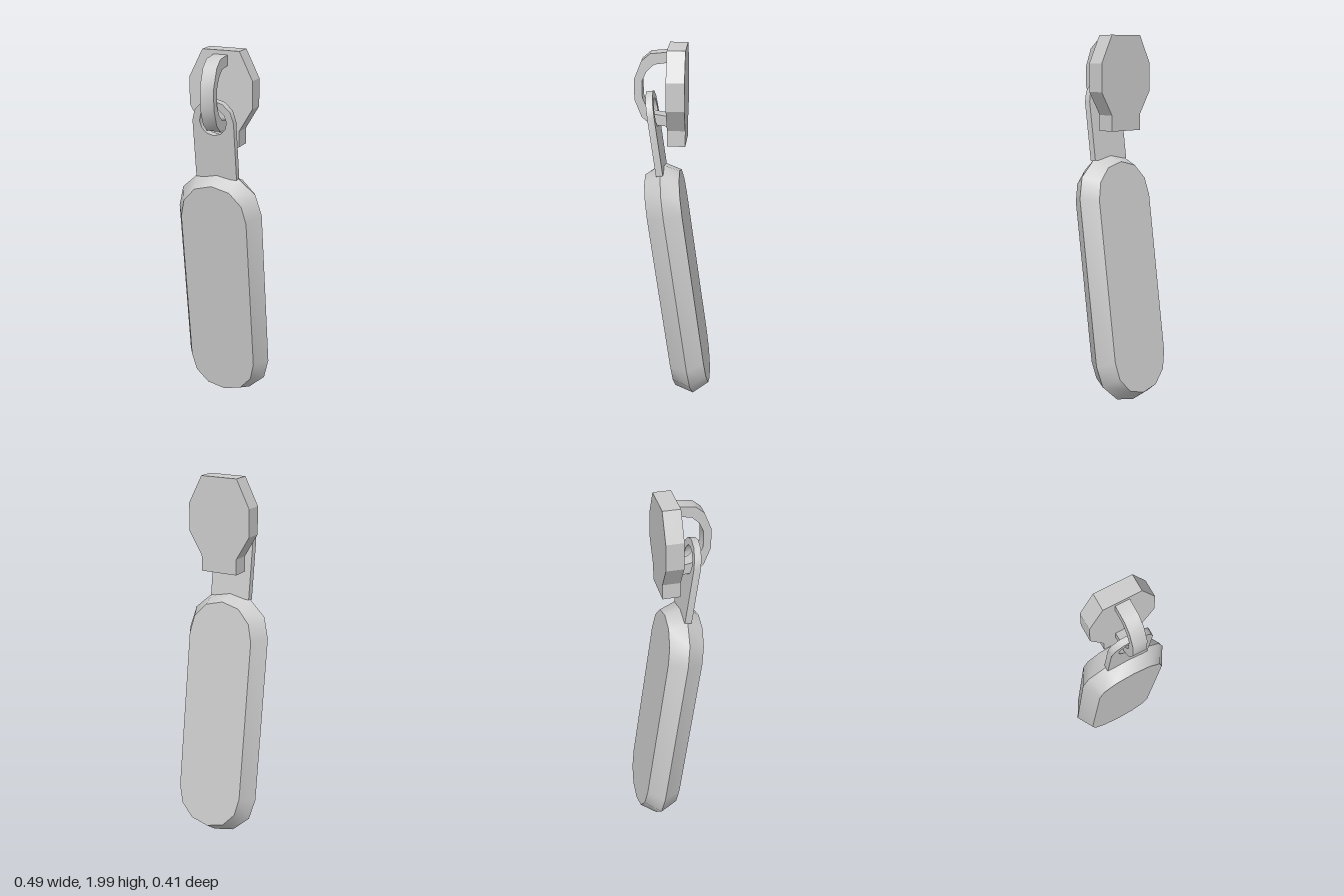
import * as THREE from 'three';
import { toCreasedNormals } from 'three/addons/utils/BufferGeometryUtils.js';

const TILT = 0.139;
const grey = new THREE.MeshStandardMaterial({ color: 0xcccccc });

function part(name, geometry, crease = 0.7) {
  const flat = geometry.index ? geometry.toNonIndexed() : geometry;
  const mesh = new THREE.Mesh(toCreasedNormals(flat, crease), grey);
  mesh.name = name;
  return mesh;
}

// Extrudes a shape, centred on its depth
function slab(shape, depth, curveSegments = 6) {
  return new THREE.ExtrudeGeometry(shape, { depth, bevelEnabled: false, curveSegments })
    .translate(0, 0, -depth / 2);
}

const points = list => list.map(([x, y]) => new THREE.Vector2(x, y));

// Mirrors a quarter outline (top centre to side) into a closed clockwise ring
function ring(quarter) {
  const right = [...quarter, ...quarter.map(([x, y]) => [x, -y]).reverse()];
  const left = right.slice(1, -1).map(([x, y]) => [-x, y]).reverse();
  return [...right, ...left];
}

// Pull body: a wide middle ring between two smaller flat faces
function bodyGeometry() {
  const wide = ring([[0, 0.68], [0.117, 0.656], [0.212, 0.571], [0.243, 0.456]]);
  const face = ring([[0, 0.634], [0.1, 0.608], [0.167, 0.535], [0.19, 0.438]]);
  const sections = [[face, -0.094], [wide, 0], [face, 0.094]];
  const n = wide.length;
  const positions = [], index = [];
  for (const [outline, z] of sections) for (const [x, y] of outline) positions.push(x, y, z);
  for (let s = 0; s < 2; s++) {
    for (let i = 0; i < n; i++) {
      const a = s * n + i, b = s * n + (i + 1) % n;
      index.push(a, a + n, b, b, a + n, b + n);
    }
  }
  for (let i = 1; i < n - 1; i++) {
    index.push(0, i, i + 1);
    index.push(2 * n, 2 * n + i + 1, 2 * n + i);
  }
  const geometry = new THREE.BufferGeometry();
  geometry.setAttribute('position', new THREE.Float32BufferAttribute(positions, 3));
  geometry.setIndex(index);
  return geometry;
}

export function createModel() {
  const group = new THREE.Group();

  // Slider plate: wide in the middle, with a narrow lower end
  const half = [[0.105, 2], [0.18, 1.85], [0.18, 1.7], [0.105, 1.575], [0.105, 1.49]];
  const plate = new THREE.Shape(points([...half, ...half.map(([x, y]) => [-x, y]).reverse()]));
  const slider = part('sliderPlate', slab(plate, 0.096), 0.2);
  slider.position.z = -0.02;
  group.add(slider);

  // Loop on the plate: a flat band, drawn in profile as (z, height from its middle)
  const outer = [[0.02, 0.2], [0.12, 0.19], [0.167, 0.15], [0.205, 0.055]];
  const inner = [[0.02, 0.145], [0.1, 0.133], [0.14, 0.095], [0.163, 0.045]];
  const flip = list => list.map(([z, y]) => [z, -y]).reverse();
  const band = new THREE.Shape(points([...outer, ...flip(outer), ...inner.map(([z, y]) => [z, -y]), ...flip(inner).map(([z, y]) => [z, -y])]));
  const loop = part('loop', slab(band, 0.078));
  loop.rotation.y = -Math.PI / 2;
  loop.position.y = 1.778;
  group.add(loop);

  // Tab with a round eye, hung from the loop
  const outline = [[-0.117, -0.32], [0.117, -0.32]];
  for (let i = 0; i <= 6; i++) {
    const a = i * Math.PI / 6;
    outline.push([0.117 * Math.cos(a), 0.117 * Math.sin(a)]);
  }
  const tabShape = new THREE.Shape(points(outline));
  tabShape.holes.push(new THREE.Path().absarc(0, 0, 0.077, 0, Math.PI * 2, true));
  const tab = part('tab', slab(tabShape, 0.037));
  tab.position.set(0, 1.643, 0.112);
  tab.rotation.x = TILT;
  group.add(tab);

  // Pull body, leaning with the tab
  const body = part('pullBody', bodyGeometry());
  body.position.set(0, 0.68, -0.026);
  body.rotation.x = TILT;
  group.add(body);

  return group;
}
